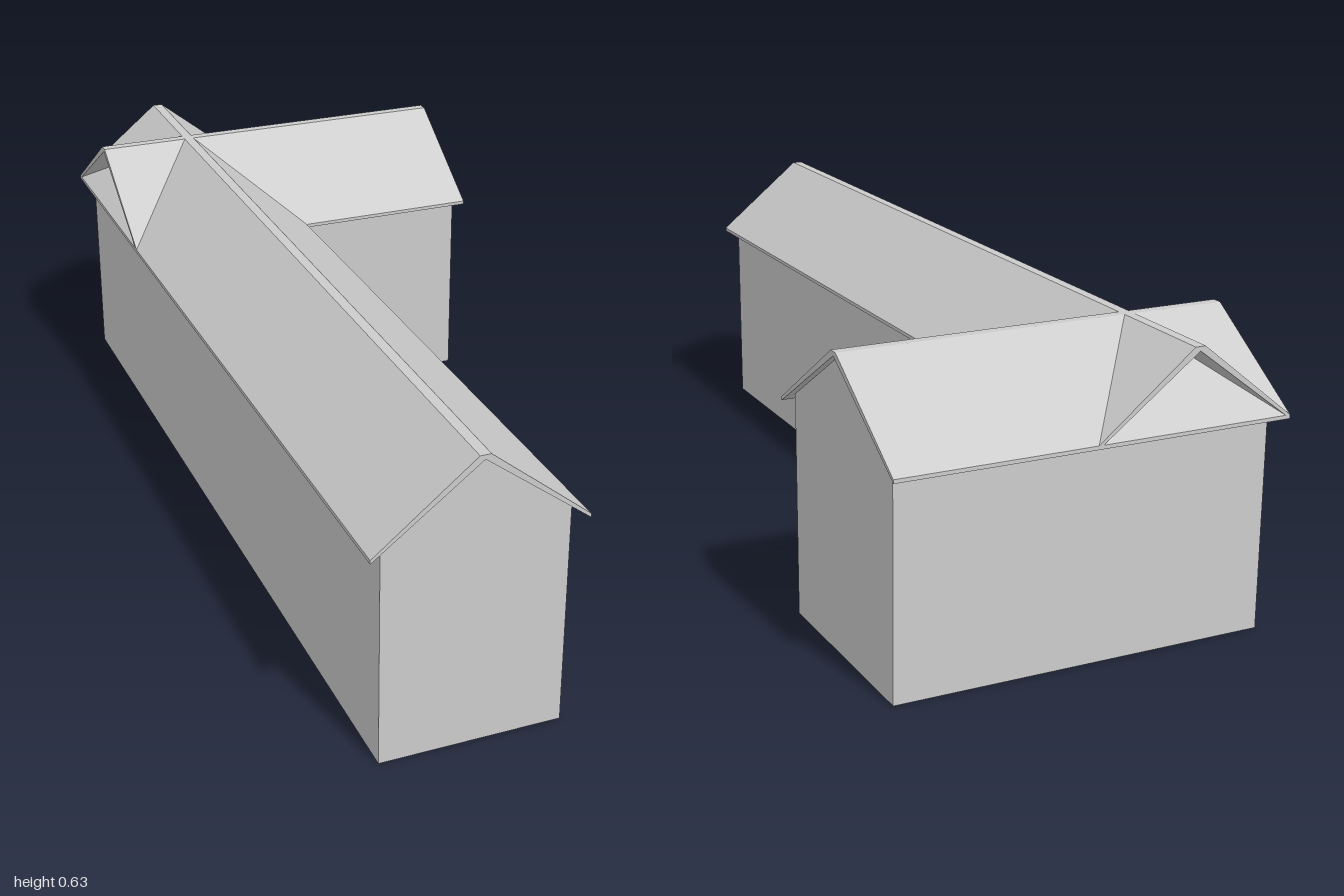
import * as THREE from 'three';

const material = new THREE.MeshStandardMaterial({
  color: 0xcccccc, flatShading: true, side: THREE.DoubleSide,
});

const WALL_TOP = 0.474;
const RIDGE = 0.617;

// Thin upright wall between two plan points [x, z], with an optional gable peak
function makeWall(name, [ax, az], [bx, bz], gable) {
  const length = Math.hypot(bx - ax, bz - az);
  const shape = new THREE.Shape();
  shape.moveTo(0, 0);
  shape.lineTo(length, 0);
  shape.lineTo(length, WALL_TOP);
  if (gable) shape.lineTo(length / 2, RIDGE);
  shape.lineTo(0, WALL_TOP);
  shape.closePath();
  const mesh = new THREE.Mesh(new THREE.ShapeGeometry(shape), material);
  mesh.name = name;
  mesh.position.set(ax, 0, az);
  mesh.rotation.y = -Math.atan2(bz - az, bx - ax);
  return mesh;
}

// Thin gable roof with a flat ridge, running along z from start to end
function makeRoof(name, halfWidth, start, end) {
  const shape = new THREE.Shape([
    [-halfWidth, 0.453], [0, RIDGE], [halfWidth, 0.453],
    [halfWidth, 0.461], [0.011, 0.626], [-0.011, 0.626], [-halfWidth, 0.461],
  ].map(([x, y]) => new THREE.Vector2(x, y)));
  const geometry = new THREE.ExtrudeGeometry(shape, { depth: end - start, bevelEnabled: false });
  geometry.translate(0, 0, start);
  const mesh = new THREE.Mesh(geometry, material);
  mesh.name = name;
  return mesh;
}

export function createModel() {
  const model = new THREE.Group();
  model.name = 'lShapedBuilding';

  // The building is turned in plan; its origin is where the ridges cross
  const building = new THREE.Group();
  building.name = 'building';
  building.position.set(0.103, 0, -0.677);
  building.rotation.y = THREE.MathUtils.degToRad(-24.1);
  model.add(building);

  // Walls around the L, open below; the two wing ends carry gables
  const corners = [
    [-0.187, 1.71], [0.187, 1.71], [0.187, 0.23],
    [0.62, 0.23], [0.62, -0.23], [-0.187, -0.23],
  ];
  const names = [
    'longWingGableWall', 'longWingInnerWall', 'shortWingInnerWall',
    'shortWingGableWall', 'shortWingOuterWall', 'longWingOuterWall',
  ];
  names.forEach((name, i) => {
    building.add(makeWall(name, corners[i], corners[(i + 1) % 6], i === 0 || i === 3));
  });

  // Two full gable roofs crossing at the corner, open at their back ends
  building.add(makeRoof('longWingRoof', 0.215, -0.265, 1.733));
  const shortRoof = makeRoof('shortWingRoof', 0.265, -0.215, 0.635);
  shortRoof.rotation.y = Math.PI / 2;
  building.add(shortRoof);

  return model;
}
